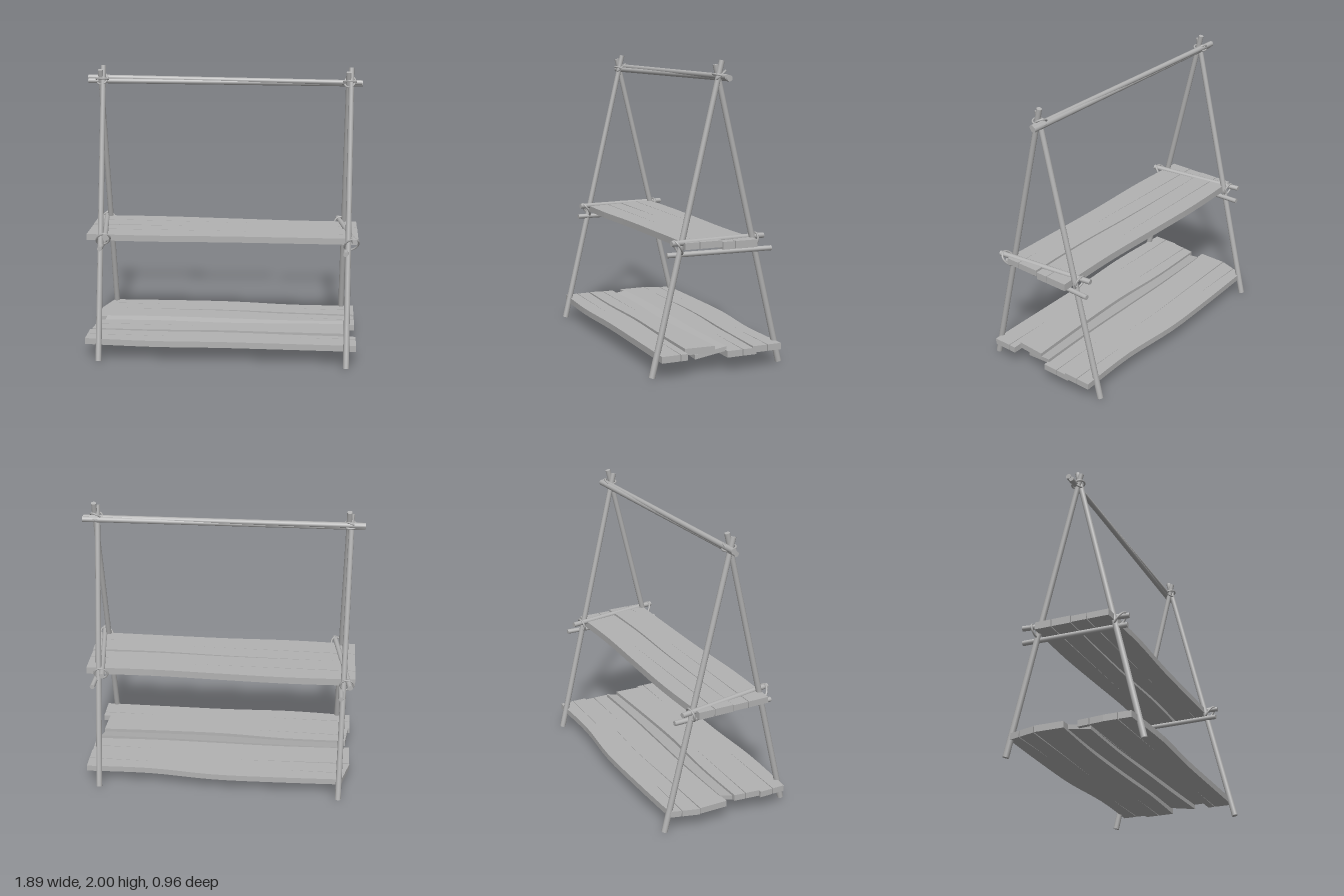
import * as THREE from 'three';

const wood = new THREE.MeshStandardMaterial({ color: 0xb2b2b2 });
wood.name = 'plain grey wood';
const V = (a) => new THREE.Vector3(...a);

// Round pole between two points
function pole(name, a, b, r0, r1 = r0) {
  const from = V(a), dir = V(b).sub(from);
  const mesh = new THREE.Mesh(new THREE.CylinderGeometry(r1, r0, dir.length(), 12), wood);
  mesh.name = name;
  mesh.position.copy(from).addScaledVector(dir, 0.5);
  mesh.quaternion.setFromUnitVectors(new THREE.Vector3(0, 1, 0), dir.normalize());
  return mesh;
}

// Rope loop: ellipse around a centre, spanned by two half-axes
function lashing(name, centre, u, v) {
  const pts = [];
  for (let i = 0; i < 16; i++) {
    const t = (i / 16) * Math.PI * 2;
    pts.push(V(centre).addScaledVector(V(u), Math.cos(t)).addScaledVector(V(v), Math.sin(t)));
  }
  const curve = new THREE.CatmullRomCurve3(pts, true);
  const mesh = new THREE.Mesh(new THREE.TubeGeometry(curve, 32, 0.007, 6, true), wood);
  mesh.name = name;
  return mesh;
}

// Rough plank. front/back: z of the long edges from -x to +x; left/right: [x at front, x at back];
// y: underside height at [-x end, +x end]; tilt: rise from front to back;
// cracks: [z, tip x, +1 or -1 for the end it starts from]
function plank(name, { front, back, left = [-0.935, -0.935], right = [0.935, 0.935], y, thick = 0.043, tilt = 0, cracks = [] }) {
  const edge = (zs, x0, x1) => new THREE.SplineCurve(zs.map((z, i) =>
    new THREE.Vector2(x0 + (x1 - x0) * i / (zs.length - 1), -z))).getPoints(16);
  const f = edge(front, left[0], right[0]);
  const b = edge(back, left[1], right[1]).reverse();
  const notch = (side, p, q) => cracks.filter((c) => c[2] === side)
    .sort((m, n) => side * (n[0] - m[0]))
    .flatMap(([z, tip]) => [0.003, 0, -0.003].map((d) => {
      const s = -z - side * d;
      const x = p.x + (q.x - p.x) * (s - p.y) / (q.y - p.y);
      return new THREE.Vector2(d === 0 ? tip : x, s);
    }));
  const outline = [...f, ...notch(1, f[16], b[0]), ...b, ...notch(-1, b[16], f[0])];
  const geo = new THREE.ExtrudeGeometry(new THREE.Shape(outline), { depth: thick, bevelEnabled: false });
  geo.rotateX(-Math.PI / 2);
  const mid = (front[0] + back[0]) / 2, width = front[0] - back[0];
  const p = geo.attributes.position;
  for (let i = 0; i < p.count; i++) {
    const t = (p.getX(i) + 0.935) / 1.87;
    p.setY(i, p.getY(i) + y[0] + (y[1] - y[0]) * t + tilt * (mid - p.getZ(i)) / width);
  }
  geo.computeVertexNormals();
  const mesh = new THREE.Mesh(geo, wood);
  mesh.name = name;
  return mesh;
}

export function createModel() {
  const model = new THREE.Group();
  model.name = 'plankRack';

  // A-frames with shelf bearers and lashings, one at each end
  const ends = [
    { name: 'right', front: -0.837, back: -0.857, low: [-0.83, -0.843], high: [-0.79, -0.9] },
    { name: 'left', front: 0.868, back: 0.846, low: [0.85, 0.872], high: [0.91, 0.805] },
  ];
  for (const e of ends) {
    const frame = new THREE.Group();
    frame.name = e.name + 'Frame';
    frame.add(
      pole('frontLeg', [e.front, 0.006, 0.46], [e.front - 0.002, 1.994, -0.018], 0.021, 0.018),
      pole('backLeg', [e.back, 0.006, -0.46], [e.back + 0.002, 1.968, 0.018], 0.021, 0.018),
      pole('lowerBearer', [e.low[0], 0.78, 0.35], [e.low[1], 0.78, -0.38], 0.017),
      pole('upperBearer', [e.high[0], 0.865, 0.345], [e.high[1], 0.855, -0.355], 0.018),
      lashing('frontLashing', [(e.front + e.high[0]) / 2, 0.835, 0.293], [0.045, 0.028, 0.016], [-0.016, 0.036, 0.026]),
      lashing('backLashing', [(e.back + e.high[1]) / 2, 0.835, -0.28], [0.045, -0.008, 0], [0.008, 0.042, -0.012]),
      lashing('topLashing', [(e.front + e.back) / 2, 1.9, -0.006], [0.042, 0, 0], [0, 0.01, 0.042]),
      lashing('topCrossLashing', [(e.front + e.back) / 2, 1.898, -0.012], [0.036, 0.008, 0.008], [0, -0.03, 0.034]),
    );
    model.add(frame);
  }

  // Top rail: two slim poles lying together
  model.add(
    pole('topRailUpper', [-0.948, 1.91, -0.032], [0.94, 1.893, -0.018], 0.019, 0.017),
    pole('topRailLower', [-0.945, 1.888, -0.012], [0.945, 1.885, -0.034], 0.017, 0.02),
  );

  // Upper shelf
  const upper = new THREE.Group();
  upper.name = 'upperShelf';
  upper.add(
    plank('frontPlank', {
      front: [0.265, 0.275, 0.26, 0.258, 0.26], back: [0.005, 0.0, 0.002, 0.014, 0.002], y: [0.818, 0.824],
      cracks: [[0.115, 0.25, -1], [0.16, 0.76, 1]],
    }),
    plank('backPlank', {
      front: [0.0, -0.005, -0.004, 0.008, -0.004], back: [-0.25, -0.262, -0.25, -0.236, -0.246], y: [0.815, 0.806],
      thick: 0.05, cracks: [[-0.135, 0.25, -1], [-0.09, 0.78, 1]],
    }),
  );

  // Lower shelf
  const lower = new THREE.Group();
  lower.name = 'lowerShelf';
  lower.add(
    plank('frontPlank', {
      front: [0.42, 0.438, 0.42, 0.418, 0.418], back: [0.235, 0.24, 0.225, 0.235, 0.24], y: [0.112, 0.112],
      cracks: [[0.33, -0.3, -1], [0.29, 0.55, 1]],
    }),
    plank('innerFrontPlank', {
      front: [0.23, 0.235, 0.22, 0.23, 0.235], back: [0.05, 0.04, 0.06, 0.05, 0.03], y: [0.118, 0.13],
      left: [-0.92, -0.9], right: [0.88, 0.89], cracks: [[0.13, -0.2, -1]],
    }),
    plank('twistedPlank', {
      front: [0.13, 0.12, 0.13, 0.14, 0.16], back: [-0.04, -0.05, -0.045, -0.04, -0.05], y: [0.115, 0.115],
      left: [-0.88, -0.86], right: [0.87, 0.9], thick: 0.03, tilt: 0.035,
    }),
    plank('innerBackPlank', {
      front: [-0.03, -0.05, -0.045, -0.03, -0.04], back: [-0.23, -0.24, -0.25, -0.23, -0.25], y: [0.115, 0.098],
      left: [-0.93, -0.93], cracks: [[-0.15, 0.5, 1]],
    }),
    plank('backPlank', {
      front: [-0.235, -0.245, -0.255, -0.235, -0.225], back: [-0.43, -0.447, -0.453, -0.418, -0.43], y: [0.112, 0.11],
      left: [-0.932, -0.875], cracks: [[-0.33, 0.45, 1], [-0.35, -0.45, -1]],
    }),
  );
  model.add(upper, lower);
  return model;
}
